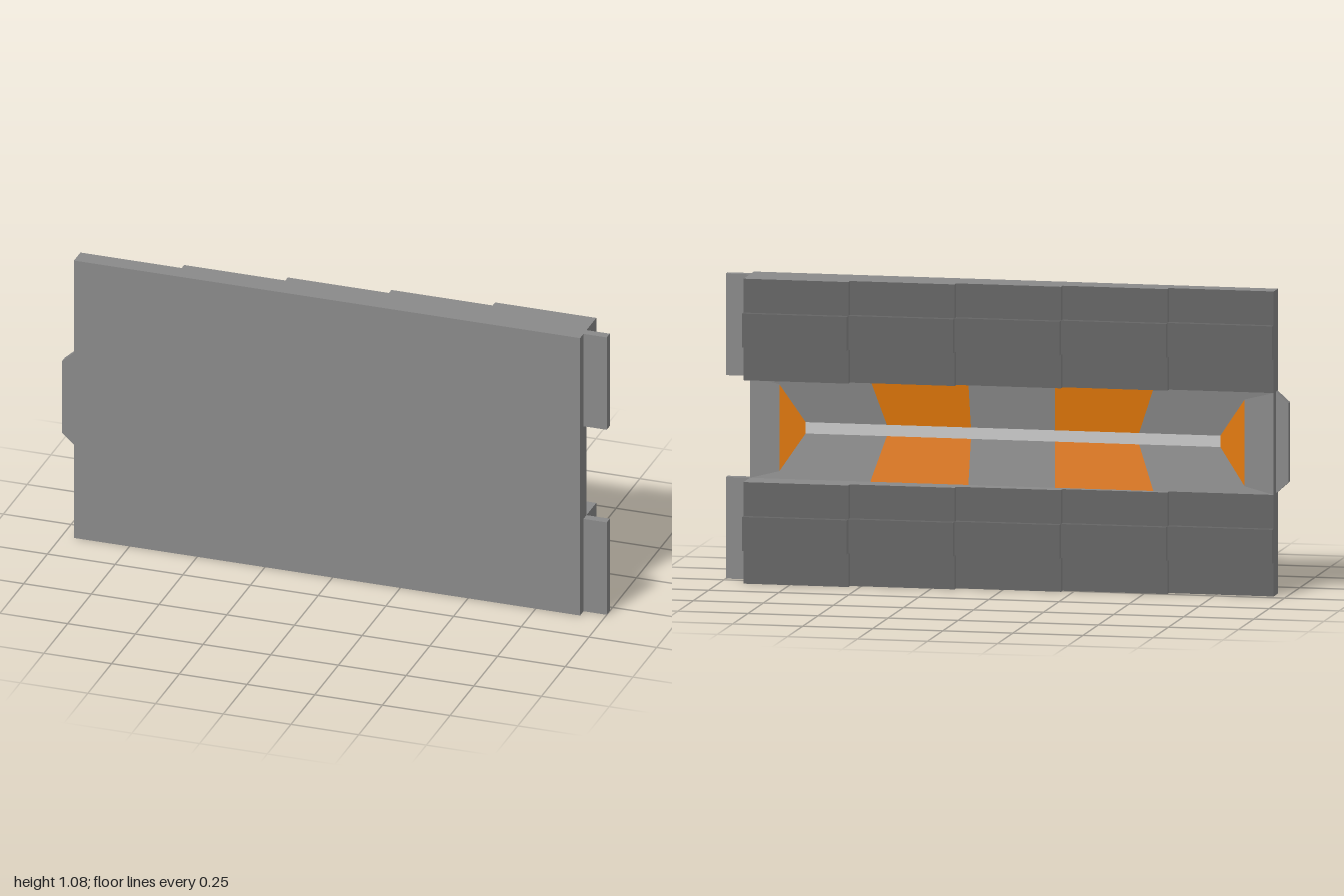
import * as THREE from 'three';

const makeMaterial = (color, side = THREE.FrontSide) => new THREE.MeshStandardMaterial({ color, flatShading: true, side });
const grey = makeMaterial(0x8a8a8a);
const dark = makeMaterial(0x666666);
const greyThin = makeMaterial(0x8a8a8a, THREE.DoubleSide);
const orange = makeMaterial(0xe47a08, THREE.DoubleSide);
const white = makeMaterial(0xffffff, THREE.DoubleSide);

// box faces in the order +x, -x, +y, -y, +z, -z
const darkBack = [grey, grey, grey, grey, grey, dark];
const darkBand = [grey, grey, dark, dark, grey, dark];

const X0 = -0.955, X1 = 0.914, H = 1.075, RAIL = 0.358, MID = H / 2, CX = (X0 + X1) / 2;
const FRONT = 0.098, RIM = 0.03, FLOOR = 0.05, STEP = 0.0257;

// box given by its two extreme corners
function box(parent, name, x0, x1, y0, y1, z0, z1, material = grey) {
  const mesh = new THREE.Mesh(new THREE.BoxGeometry(x1 - x0, y1 - y0, z1 - z0), material);
  mesh.position.set((x0 + x1) / 2, (y0 + y1) / 2, (z0 + z1) / 2);
  mesh.name = name;
  parent.add(mesh);
}

// convex planar polygon, turned so that it faces the back or the given direction
function panel(parent, name, points, material, facing = new THREE.Vector3(0, 0, -1)) {
  let pts = points.map((p) => new THREE.Vector3(...p));
  const normal = new THREE.Vector3().crossVectors(pts[1].clone().sub(pts[0]), pts[2].clone().sub(pts[0]));
  if (normal.dot(facing) < 0) pts = pts.reverse();
  const geometry = new THREE.BufferGeometry().setFromPoints(pts);
  const index = [];
  for (let i = 1; i < pts.length - 1; i++) index.push(0, i, i + 1);
  geometry.setIndex(index);
  geometry.computeVertexNormals();
  const mesh = new THREE.Mesh(geometry, material);
  mesh.name = name;
  parent.add(mesh);
}

// shallow sloped channel between the rails, with orange bands and a light strip
function createChannel() {
  const group = new THREE.Group();
  group.name = 'channel';
  const outer = H / 2 - RAIL, inner = 0.02, half = (X1 - X0) / 2;
  const depth = (h) => RIM + (FLOOR - RIM) * (outer - h) / (outer - inner);
  const at = (x, h, side = 1) => [CX + x, MID + side * h, depth(h)];
  const endX = 0.83, endH = 0.153, barX = 0.74;

  panel(group, 'lightStrip', [at(-barX, inner), at(barX, inner), at(barX, inner, -1), at(-barX, inner, -1)], white);

  for (const s of [-1, 1]) {
    // sloped walls split into bands: [inner x, outer x] at every seam
    const seams = [[-0.45, -0.505], [-0.15, -0.155], [0.15, 0.155], [0.45, 0.505]];
    for (let i = 0; i < 3; i++) {
      const [a, b] = [seams[i], seams[i + 1]];
      panel(group, i === 1 ? 'slope' : 'orangeBand',
        [at(a[0], inner, s), at(b[0], inner, s), at(b[1], outer, s), at(a[1], outer, s)], i === 1 ? greyThin : orange);
    }
    for (const e of [-1, 1]) {
      panel(group, 'endSlope', [at(e * 0.45, inner, s), at(e * barX, inner, s), at(e * endX, endH, s),
        at(e * half, outer, s), at(e * 0.505, outer, s)], greyThin);
    }
  }
  // channel ends: orange ramp, grey border and outer side wall
  for (const e of [-1, 1]) {
    panel(group, 'orangeEnd', [at(e * barX, inner), at(e * endX, endH), at(e * endX, endH, -1), at(e * barX, inner, -1)], orange);
    panel(group, 'endBorder', [at(e * endX, endH), at(e * half, outer), at(e * half, outer, -1), at(e * endX, endH, -1)], greyThin);
    const x = CX + e * half;
    panel(group, 'endWall', [[x, RAIL, RIM], [x, H - RAIL, RIM], [x, H - RAIL, 0.055], [x, RAIL, 0.055]],
      greyThin, new THREE.Vector3(e, 0, 0));
  }
  return group;
}

export function createModel() {
  const model = new THREE.Group();
  model.name = 'panel';

  box(model, 'frontPlate', X0, X1, 0, H, 0.055, FRONT);
  model.add(createChannel());

  // lower and upper stepped rails with dark backs, each with a raised dark middle band
  const segment = (X1 - X0) / 5;
  for (const [name, y] of [['lowerRail', 0], ['upperRail', H - RAIL]]) {
    const rail = new THREE.Group();
    rail.name = name;
    for (let i = 0; i < 5; i++) {
      const x = X0 + i * segment, back = RIM - i * STEP;
      box(rail, 'railStep', x, x + segment, y, y + RAIL, back, 0.055, darkBack);
      box(rail, 'raisedBand', x, x + segment, y + RAIL / 3, y + RAIL * 2 / 3, back - STEP, back, darkBand);
    }
    box(rail, 'sideTab', X1, 1, y, y + RAIL, RIM, 0.062);
    model.add(rail);
  }

  // tapered tongue on the opposite side
  const shape = new THREE.Shape([[X0, RAIL], [X0, H - RAIL], [-1, H - RAIL - 0.04], [-1, RAIL + 0.04]]
    .map((p) => new THREE.Vector2(...p)));
  const tongue = new THREE.Mesh(new THREE.ExtrudeGeometry(shape, { depth: 0.03, bevelEnabled: false }), grey);
  tongue.position.z = 0.064;
  tongue.name = 'sideTongue';
  model.add(tongue);

  return model;
}
